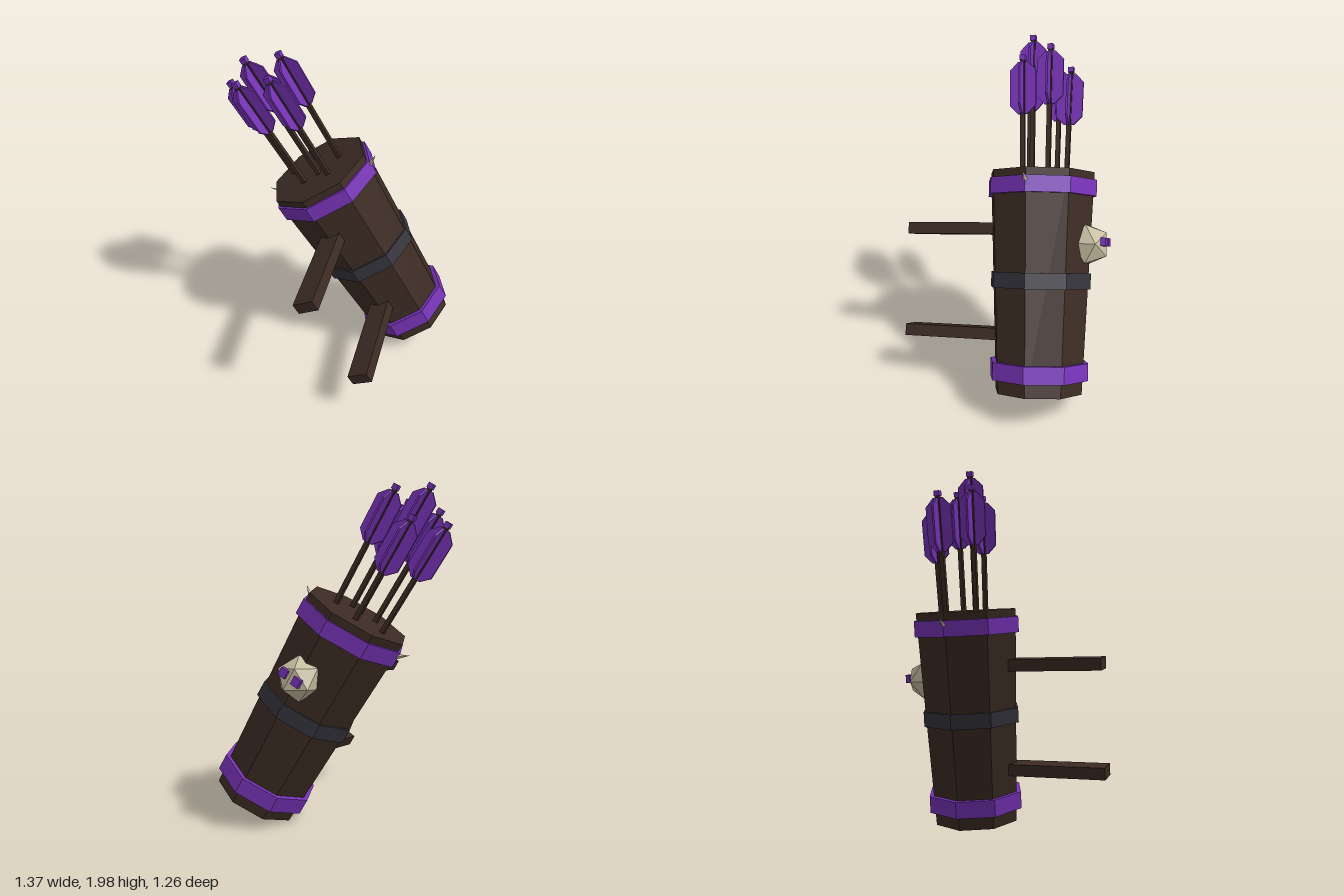
import * as THREE from 'three';

const mat = (color) => new THREE.MeshStandardMaterial({ color, flatShading: true });

export function createModel() {
  const wood = mat(0x3b2a23), purple = mat(0x7532b4), iron = mat(0x33323b), bone = mat(0xc4bb9f);

  // Everything is built upright on the barrel axis, then tilted as one
  const quiver = new THREE.Group();
  quiver.name = 'quiver';
  quiver.rotation.set(THREE.MathUtils.degToRad(9), 0, THREE.MathUtils.degToRad(28), 'ZYX');
  quiver.position.set(0.462, 0.124, -0.347);

  const add = (parent, name, geometry, material, x = 0, y = 0, z = 0) => {
    const mesh = new THREE.Mesh(geometry, material);
    mesh.name = name;
    mesh.position.set(x, y, z);
    parent.add(mesh);
    return mesh;
  };

  // Tapered eight-sided barrel with three bands
  const length = 1.285;
  add(quiver, 'barrel', new THREE.CylinderGeometry(0.32, 0.262, length, 8), wood, 0, length / 2, 0);
  const band = (name, r0, r1, y0, y1, material) =>
    add(quiver, name, new THREE.CylinderGeometry(r1, r0, y1 - y0, 8), material, 0, (y0 + y1) / 2, 0);
  band('bottomBand', 0.298, 0.298, 0.08, 0.18, purple);
  band('middleBand', 0.306, 0.306, 0.605, 0.695, iron);
  band('topBand', 0.334, 0.334, 1.145, 1.24, purple);

  // Two strap bars reaching out of the front
  for (const [name, y] of [['upperStrap', 0.952], ['lowerStrap', 0.325]])
    add(quiver, name, new THREE.BoxGeometry(0.13, 0.07, 0.635), wood, 0, y, 0.518);

  // Bone ornament with two glowing eyes on the back
  add(quiver, 'skull', new THREE.IcosahedronGeometry(0.13, 0), bone, 0, 0.865, -0.285);
  for (const side of [-1, 1])
    add(quiver, 'eye', new THREE.BoxGeometry(0.048, 0.048, 0.03), purple, side * 0.046, 0.878, -0.389);

  // Bone spikes slanting outwards on the top band
  for (const side of [-1, 1]) {
    const spike = add(quiver, 'spike', new THREE.ConeGeometry(0.024, 0.12, 4), bone, side * 0.337, 1.222, 0);
    spike.rotation.z = -side * 0.94;
  }

  // Fletching outline: a long vane with chamfered ends, spanning both sides of the shaft
  const w = 0.08, len = 0.31, c = 0.05;
  const vane = new THREE.Shape([
    [-w, c], [-0.03, 0], [0.03, 0], [w, c], [w, len - c], [0.03, len], [-0.03, len], [-w, len - c],
  ].map(([x, y]) => new THREE.Vector2(x, y)));
  const vaneGeometry = new THREE.ExtrudeGeometry(vane, { depth: 0.012, bevelEnabled: false });
  vaneGeometry.translate(0, 0, -0.006);

  // Arrows: [x, z] of the nock and its height along the barrel axis
  const arrows = [
    [-0.216, -0.047, 1.985], [-0.078, 0.109, 2.02], [0.025, 0.06, 2.115],
    [0.142, -0.082, 2.02], [0.111, 0.097, 1.975], [-0.063, -0.155, 1.93],
  ];
  const up = new THREE.Vector3(0, 1, 0);
  for (const [x, z, top] of arrows) {
    const base = new THREE.Vector3(x * 0.88, 1.2, z * 0.88);
    const axis = new THREE.Vector3(x, top, z).sub(base);
    const l = axis.length();
    const arrow = new THREE.Group();
    arrow.name = 'arrow';
    arrow.position.copy(base);
    arrow.quaternion.setFromUnitVectors(up, axis.normalize());
    add(arrow, 'shaft', new THREE.BoxGeometry(0.026, l - 0.02, 0.026), wood, 0, (l - 0.02) / 2, 0);
    add(arrow, 'nock', new THREE.BoxGeometry(0.034, 0.03, 0.034), purple, 0, l - 0.015, 0);
    for (const turn of [0, Math.PI / 2])
      add(arrow, 'fletching', vaneGeometry, purple, 0, l - 0.04 - len, 0).rotation.y = turn;
    quiver.add(arrow);
  }

  const model = new THREE.Group();
  model.name = 'arrowQuiver';
  model.add(quiver);
  return model;
}
